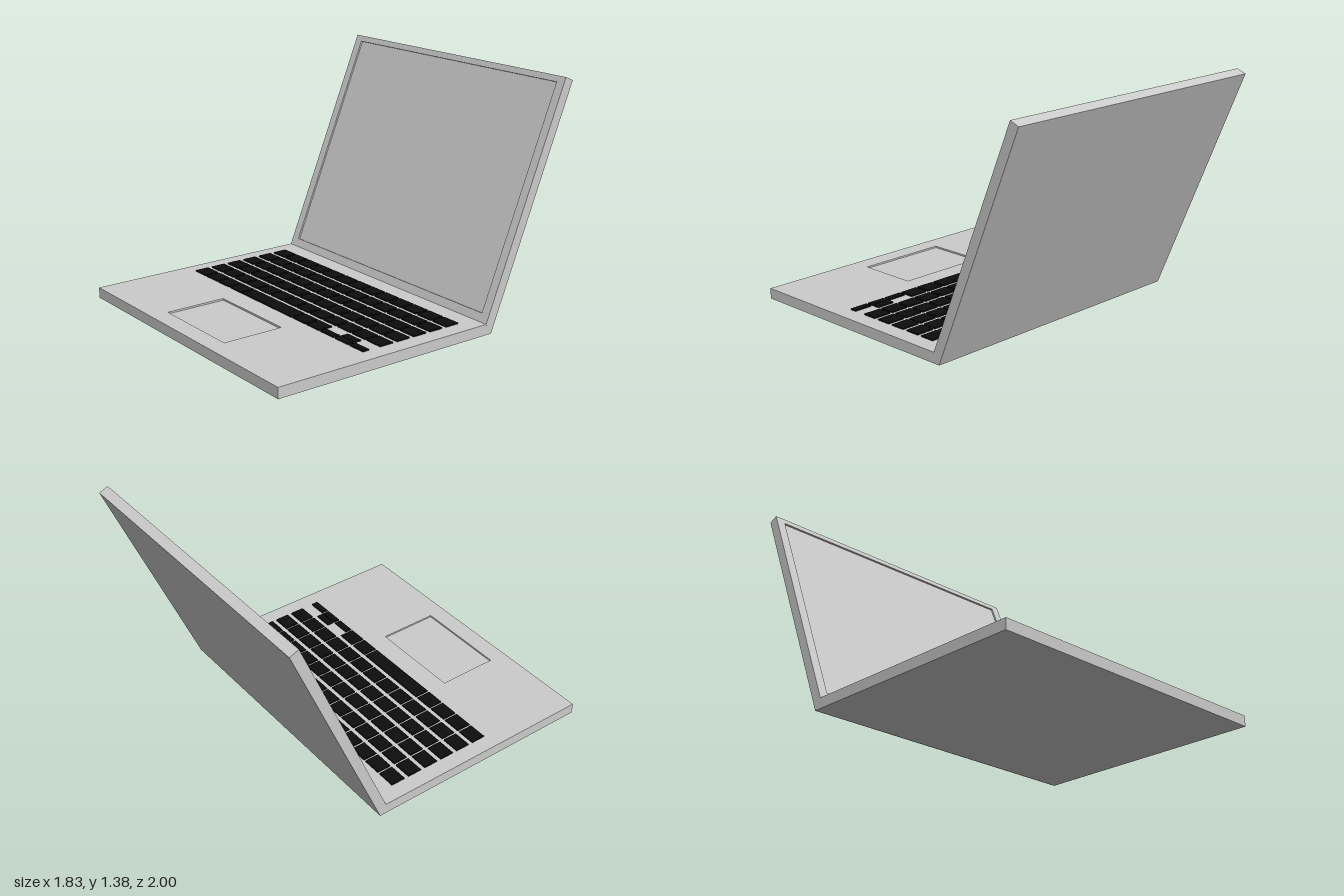
import * as THREE from 'three';

const WIDTH = 1.826, BASE_H = 0.063, RECESS = 0.01, TILT = Math.PI / 8;
const LID_H = 1.423, LID_T = 0.06;
const grey = new THREE.MeshStandardMaterial({ color: 0xcccccc });
const black = new THREE.MeshStandardMaterial({ color: 0x0d0d0d });

function add(parent, name, geometry, material = grey) {
  const mesh = new THREE.Mesh(geometry, material);
  mesh.name = name;
  parent.add(mesh);
  return mesh;
}

// Side profile of [z, y] points, extruded across the full width
function slab(points) {
  const shape = new THREE.Shape(points.map(([z, y]) => new THREE.Vector2(z, y)));
  const geo = new THREE.ExtrudeGeometry(shape, { depth: WIDTH, bevelEnabled: false });
  return geo.translate(0, 0, -WIDTH / 2).rotateY(-Math.PI / 2);
}

function rectangle(PathType, x0, y0, x1, y1) {
  return new PathType([[x0, y0], [x1, y0], [x1, y1], [x0, y1]].map(([x, y]) => new THREE.Vector2(x, y)));
}

// Thin plate with a rectangular opening, its front face at z = 0
function framePlate(y0, y1, hole) {
  const shape = rectangle(THREE.Shape, -WIDTH / 2, y0, WIDTH / 2, y1);
  shape.holes.push(rectangle(THREE.Path, ...hole));
  return new THREE.ExtrudeGeometry(shape, { depth: RECESS, bevelEnabled: false }).translate(0, 0, -RECESS);
}

function createBase() {
  const base = new THREE.Group();
  base.name = 'base';
  const floor = BASE_H - RECESS;
  // Lower body, mitred at the hinge; its top is the trackpad floor
  add(base, 'baseBody', slab([[1, 0], [1, floor], [-0.407, floor], [-0.438, 0]]));
  // Top deck with the trackpad opening
  const deck = framePlate(-1, 0.402, [-0.31, -0.89, 0.265, -0.52]);
  add(base, 'topDeck', deck.rotateX(-Math.PI / 2).translate(0, BASE_H, 0));
  return base;
}

function createLid() {
  const lid = new THREE.Group();
  lid.name = 'lid';
  // Back shell; its front is the recessed screen
  add(lid, 'lidShell', slab([[-RECESS, -0.007], [-RECESS, LID_H], [-LID_T, LID_H], [-LID_T, -0.044]]));
  add(lid, 'screenBezel', framePlate(-0.006, LID_H, [-0.857, 0.05, 0.857, 1.387]));
  lid.position.set(0, BASE_H, -0.4);
  lid.rotation.x = -TILT;
  return lid;
}

function createKeyboard() {
  const keyboard = new THREE.Group();
  keyboard.name = 'keyboard';
  const pitchX = 0.1264, pitchZ = 0.1165, keyW = 0.112, keyD = 0.088, top = 0.071;

  // A key spans columns, and part of the row depth from z0 to z1
  const key = (name, column, row, span = 1, z0 = 0, z1 = keyD) => {
    const w = keyW + (span - 1) * pitchX;
    const geo = new THREE.BoxGeometry(w, 0.012, z1 - z0);
    add(keyboard, name, geo, black).position.set(
      -0.816 + column * pitchX + w / 2, top - 0.006, -0.283 + row * pitchZ + (z0 + z1) / 2);
  };

  for (let row = 0; row < 5; row++)
    for (let column = 0; column < 13; column++) key('key', column, row);

  // Bottom row: modifiers, space bar and half-height arrows
  for (const column of [0, 1, 2, 3, 8, 9]) key('modifierKey', column, 5);
  key('spaceBar', 4, 5, 4);
  for (const column of [10, 11, 12]) key('arrowKey', column, 5, 1, 0.047, keyD);
  key('arrowKey', 11, 5, 1, 0, 0.042);
  return keyboard;
}

export function createModel() {
  const laptop = new THREE.Group();
  laptop.name = 'laptop';
  laptop.add(createBase(), createLid(), createKeyboard());
  return laptop;
}
